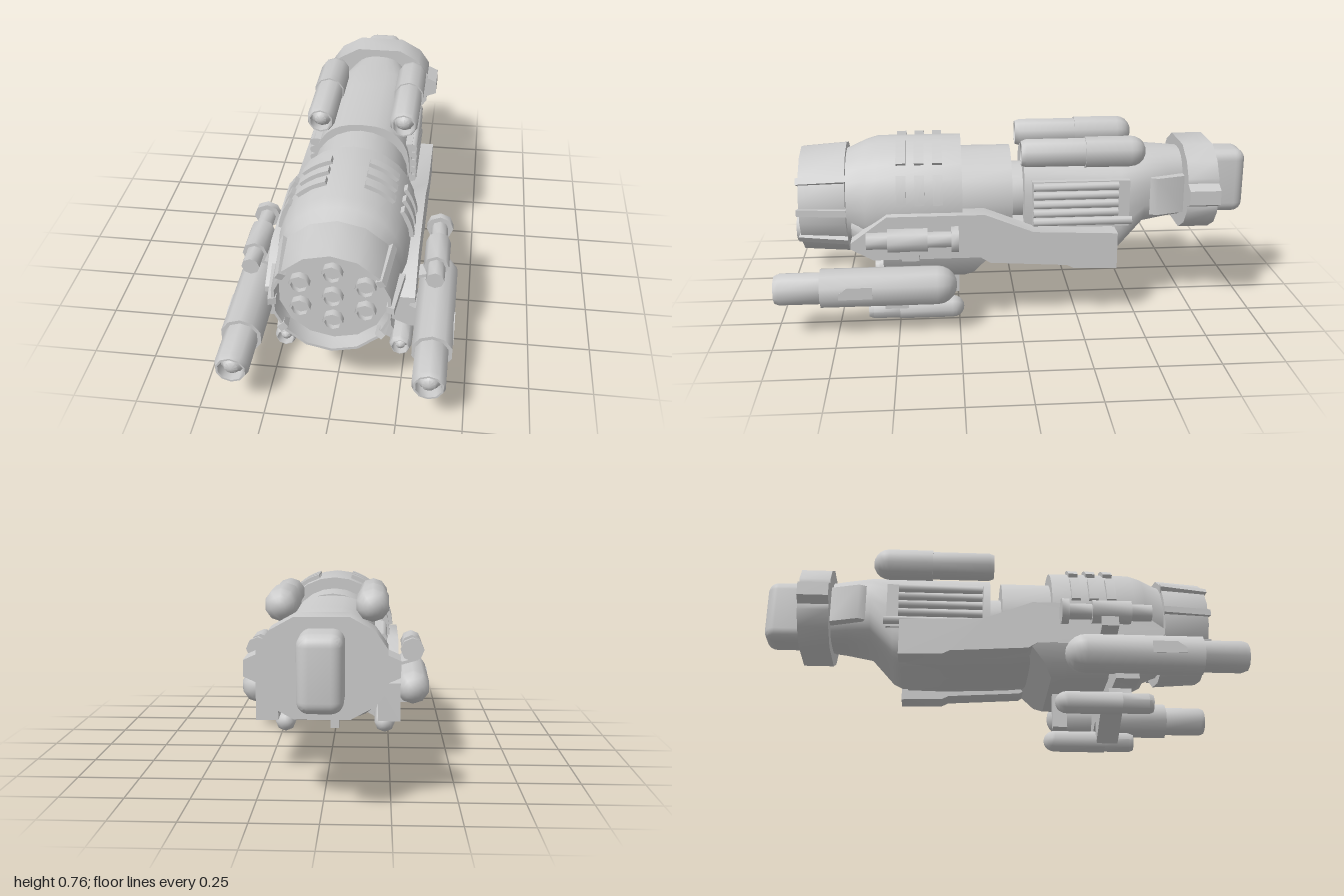
import * as THREE from 'three';
import { toCreasedNormals } from 'three/addons/utils/BufferGeometryUtils.js';
import { RoundedBoxGeometry } from 'three/addons/geometries/RoundedBoxGeometry.js';

const material = new THREE.MeshStandardMaterial({ color: 0xcccccc, side: THREE.DoubleSide });
const AXIS = 0.49;

// Lathe around an axis parallel to z; profile is [radius, z] with z rising along the outside
function turned(profile, x, y, sides) {
  const pts = profile.map(([r, z]) => new THREE.Vector2(r, z));
  return new THREE.LatheGeometry(pts, sides).rotateX(Math.PI / 2).translate(x, y, 0);
}
function polygon(points) {
  return new THREE.Shape(points.map(([a, b]) => new THREE.Vector2(a, b)));
}
// Front outline (x, y) pushed from z0 to z1
function frontExtrude(shape, z0, z1) {
  return new THREE.ExtrudeGeometry(shape, { depth: z1 - z0, bevelEnabled: false, curveSegments: 4 }).translate(0, 0, z0);
}
// Side outline (z, y) pushed from x0 to x1
function sideExtrude(points, x0, x1) {
  return new THREE.ExtrudeGeometry(polygon(points), { depth: x1 - x0, bevelEnabled: false })
    .rotateY(-Math.PI / 2).translate(x1, 0, 0);
}
// Rounded cross-sections [z, halfWidth, top, bottom, squareness], front to back
function loft(sections, n = 32) {
  const pos = [], index = [];
  const power = (v, p) => Math.sign(v) * Math.pow(Math.abs(v), p);
  for (const [z, w, top, bottom, sq] of sections) {
    for (let j = 0; j < n; j++) {
      const a = (j / n) * Math.PI * 2;
      const p = Math.sin(a) < 0 ? sq : 0.8;
      pos.push(w * power(Math.cos(a), p), (top + bottom) / 2 + ((top - bottom) / 2) * power(Math.sin(a), p), z);
    }
  }
  for (let i = 0; i < sections.length - 1; i++) {
    for (let j = 0; j < n; j++) {
      const a = i * n + j, b = i * n + ((j + 1) % n);
      index.push(a, a + n, b, b, a + n, b + n);
    }
  }
  const last = (sections.length - 1) * n;
  for (let j = 1; j < n - 1; j++) index.push(0, j, j + 1, last, last + j + 1, last + j);
  const g = new THREE.BufferGeometry();
  g.setAttribute('position', new THREE.Float32BufferAttribute(pos, 3));
  g.setIndex(index);
  return g;
}
// Mirror across x = 0, restoring the corner order
function mirrored(geometry) {
  const g = geometry.clone().scale(-1, 1, 1);
  for (const attr of Object.values(g.attributes)) {
    const s = attr.itemSize, a = attr.array;
    for (let i = 0; i < a.length; i += 3 * s) {
      for (let k = 0; k < s; k++) [a[i + s + k], a[i + 2 * s + k]] = [a[i + 2 * s + k], a[i + s + k]];
    }
  }
  return g;
}
// Pod with a domed tail and a hollow muzzle holding a round tip
function podProfile(back, step, front, r, rFront) {
  const pts = [];
  for (let i = 0; i <= 5; i++) {
    const a = (i / 5) * Math.PI / 2;
    pts.push([r * Math.sin(a), back + r * (1 - Math.cos(a))]);
  }
  return [...pts, [r, step], [rFront, step], [rFront, front - 0.02], [rFront - 0.008, front],
    [rFront * 0.76, front], [rFront * 0.72, front - 0.04], [rFront * 0.6, front - 0.035],
    [rFront * 0.4, front - 0.012], [0, front - 0.004]];
}

export function createModel() {
  const model = new THREE.Group();
  const add = (name, geometry) => {
    const mesh = new THREE.Mesh(toCreasedNormals(geometry, 0.82), material);
    mesh.name = name;
    model.add(mesh);
    return mesh;
  };
  const pair = (name, geometry) => {
    const left = add(name + 'Left', geometry);
    const right = new THREE.Mesh(mirrored(left.geometry), material);
    right.name = name + 'Right';
    model.add(right);
  };

  // Front hull and its narrow neck
  add('frontHull', turned([[0, -0.06], [0.13, -0.06], [0.13, 0.02], [0.202, 0.02], [0.202, 0.23], [0.252, 0.23],
    [0.252, 0.58], [0.237, 0.63], [0.205, 0.7], [0.2, 0.73], [0, 0.73]], 0, AXIS, 24));

  // Nozzle collar with a recessed face
  add('nozzle', turned([[0.19, 0.71], [0.236, 0.71], [0.222, 0.9], [0.211, 0.9], [0.205, 0.84], [0, 0.84]], 0, 0.485, 14));
  const ports = [[0, 0]];
  for (let i = 0; i < 6; i++) {
    const a = Math.PI / 6 + (i * Math.PI) / 3;
    ports.push([0.139 * Math.cos(a), 0.11 * Math.sin(a)]);
  }
  for (const [x, y] of ports) {
    add('nozzlePort', turned([[0.039, 0.83], [0.039, 0.87], [0.031, 0.87], [0.031, 0.85], [0, 0.85]], x, 0.485 + y, 8));
  }
  // Slanted ribs round the collar
  for (const a of [-0.58, 0, 0.58]) {
    const rib = sideExtrude([[0.71, 0.215], [0.9, 0.2], [0.91, 0.229], [0.705, 0.252]], -0.014, 0.014);
    pair('nozzleRib', rib.rotateZ(a - Math.PI / 2).translate(0, 0.485, 0));
  }

  // Curved bands on the shoulders of the hull
  for (const z of [0.31, 0.385, 0.46]) {
    for (const [a0, a1] of [[0.1, 0.57], [0.77, 1.28]]) {
      const band = new THREE.Shape();
      band.absarc(0, AXIS, 0.268, a0, a1, false);
      band.absarc(0, AXIS, 0.24, a1, a0, true);
      pair('hullBand', frontExtrude(band, z, z + 0.04));
    }
  }

  // Rear hull, tapering up towards the tail
  add('rearHull', loft([[-0.03, 0.205, 0.69, 0.26, 0.5], [-0.4, 0.205, 0.69, 0.24, 0.5], [-0.44, 0.205, 0.69, 0.26, 0.5],
    [-0.54, 0.195, 0.685, 0.37, 0.6], [-0.64, 0.16, 0.68, 0.38, 0.6], [-0.72, 0.13, 0.675, 0.385, 0.6]]));
  // Round-cornered belly with a nose rising under the collar
  add('belly', loft([[0.69, 0.22, 0.45, 0.36, 0.45], [0.62, 0.225, 0.45, 0.275, 0.45], [0.56, 0.225, 0.45, 0.24, 0.45],
    [0.2, 0.225, 0.45, 0.28, 0.5], [0.05, 0.215, 0.42, 0.262, 0.5], [-0.22, 0.21, 0.4, 0.25, 0.5], [-0.38, 0.2, 0.39, 0.25, 0.5]]));

  // Cooling vents on the rear flanks
  pair('ventFrame', frontExtrude(polygon([[0.15, 0.39], [0.213, 0.39], [0.213, 0.59], [0.15, 0.59]]), -0.47, -0.06));
  for (let i = 0; i < 5; i++) {
    const back = i === 0 ? -0.48 : -0.42;
    pair('ventSlat', turned([[0, back], [0.018, back], [0.018, -0.065], [0, -0.065]], 0.217, 0.417 + i * 0.038, 8));
  }

  // Tail braces, flange and engine block
  const brace = polygon([[0.12, 0.72], [0.165, 0.72], [0.203, 0.59], [0.19, 0.56], [0.17, 0.57]]);
  pair('tailBrace', new THREE.ExtrudeGeometry(brace, { depth: 0.16, bevelEnabled: false })
    .rotateX(-Math.PI / 2).translate(0, 0.43, 0));
  const half = [[0.1, 0.71], [0.19, 0.66], [0.235, 0.595], [0.235, 0.575], [0.28, 0.555], [0.28, 0.495],
    [0.235, 0.475], [0.235, 0.45], [0.19, 0.39], [0.1, 0.34]];
  add('tailFlange', frontExtrude(polygon([...half, ...half.map(([x, y]) => [-x, y]).reverse()]), -0.84, -0.71));
  add('engineBlock', new RoundedBoxGeometry(0.165, 0.28, 0.28, 4, 0.045).translate(0, 0.53, -0.86));

  // Cradle: flank plates running back, and a chamfered tray with a sloping rear underneath
  pair('cradleFlank', sideExtrude([[0.69, 0.37], [0.54, 0.48], [0.14, 0.48], [-0.06, 0.4], [-0.41, 0.385], [-0.41, 0.23],
    [-0.23, 0.235], [-0.2, 0.25], [0.12, 0.27], [0.16, 0.295], [0.6, 0.295], [0.69, 0.345]], 0.2, 0.29));
  const tray = frontExtrude(polygon([[-0.29, 0.3], [-0.26, 0.22], [-0.19, 0.18], [0.19, 0.18], [0.26, 0.22], [0.29, 0.3]]), 0.12, 0.56);
  const p = tray.attributes.position;
  for (let i = 0; i < p.count; i++) {
    if (p.getZ(i) < 0.3) p.setZ(i, p.getZ(i) + 0.85 * (0.3 - p.getY(i)));
  }
  add('cradleTray', tray);

  // Lower pylons and keel
  add('lowerPylon', frontExtrude(polygon([[-0.19, 0.19], [-0.19, 0.1], [-0.22, 0.06], [-0.19, 0.035], [0, 0.143],
    [0.19, 0.035], [0.22, 0.06], [0.19, 0.1], [0.19, 0.19]]), 0.46, 0.555));
  add('keel', new THREE.BoxGeometry(0.04, 0.17, 0.06).translate(0, 0.115, 0.275));
  pair('sidePylon', frontExtrude(polygon([[0.18, 0.19], [0.18, 0.145], [0.265, 0.11], [0.365, 0.11], [0.365, 0.19],
    [0.28, 0.205], [0.25, 0.22]]), 0.46, 0.555));

  // Pods
  pair('sidePod', turned(podProfile(0.26, 0.81, 0.995, 0.081, 0.066), 0.367, 0.212, 10));
  pair('sidePodHatch', sideExtrude([[0.6, 0.19], [0.735, 0.19], [0.735, 0.215], [0.7, 0.24], [0.6, 0.24]], 0.42, 0.446));
  pair('lowerPod', turned(podProfile(0.23, 0.5, 0.63, 0.049, 0.045), 0.234, 0.056, 8));
  pair('upperPod', turned(podProfile(-0.535, -0.28, -0.015, 0.066, 0.06), 0.177, 0.706, 10));

  // Side guns on bent brackets
  pair('sideGun', turned([[0, 0.25], [0.055, 0.25], [0.055, 0.28], [0.034, 0.28], [0.034, 0.375], [0.05, 0.375],
    [0.05, 0.535], [0.036, 0.535], [0.036, 0.62], [0, 0.62]], 0.36, 0.405, 8));
  pair('gunBracket', frontExtrude(polygon([[0.28, 0.295], [0.395, 0.328], [0.395, 0.38], [0.383, 0.38],
    [0.383, 0.338], [0.28, 0.31]]), 0.41, 0.48));

  return model;
}
